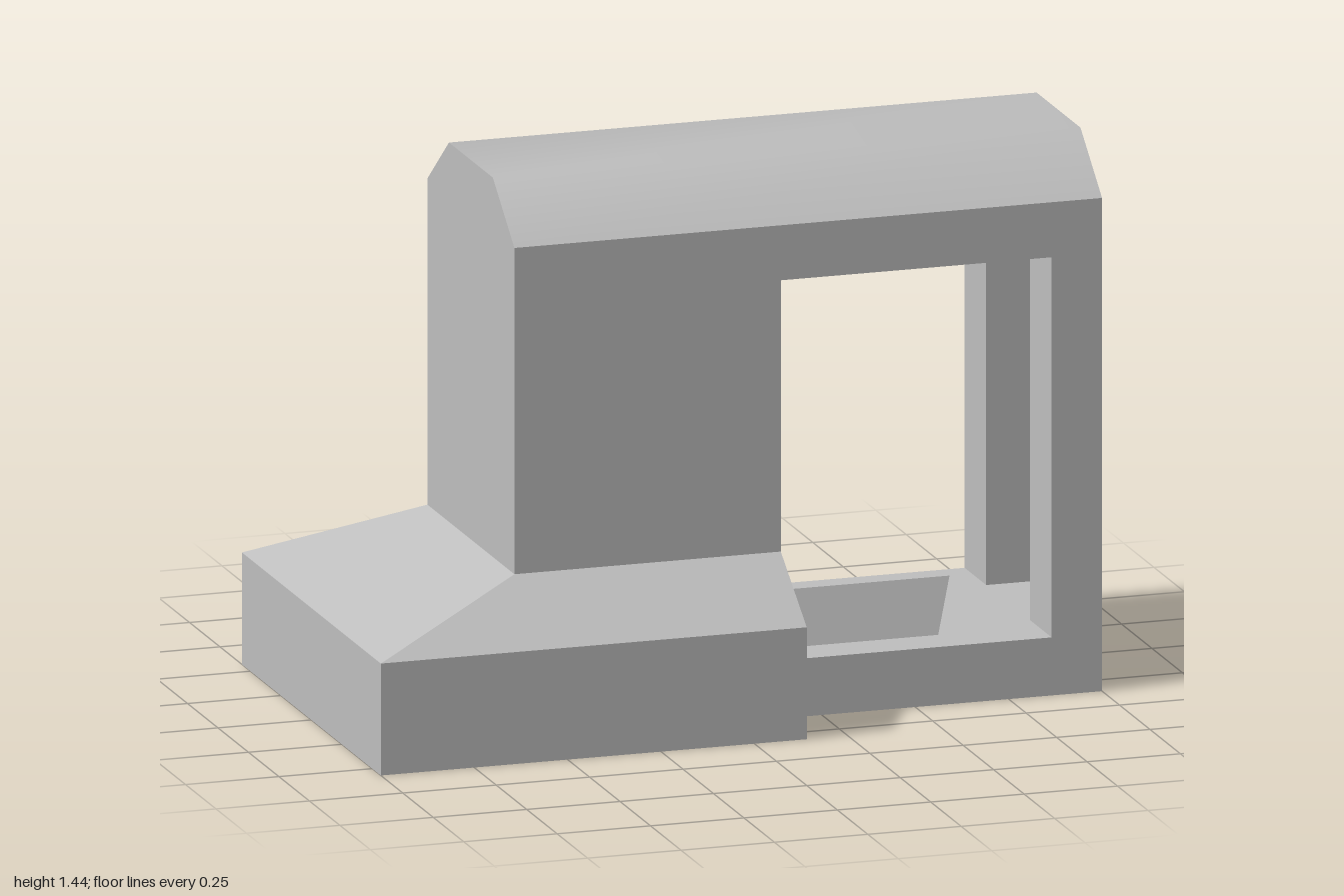
import * as THREE from 'three';
import { toCreasedNormals } from 'three/addons/utils/BufferGeometryUtils.js';

const HALF = 0.357, FLOOR = 0.153, LINTEL = 1.155, EAVES = 1.3, TOP = 1.44;
const WALL_L = -0.573, WALL_R = 0.14, POST = 0.865;

// Stacked rectangles [y, x0, x1, halfDepth] joined by flat sides and capped at both ends
function loftRects(levels) {
  const rings = levels.map(([y, x0, x1, d]) => [[x0, y, d], [x1, y, d], [x1, y, -d], [x0, y, -d]]);
  const pos = [];
  const quad = (a, b, c, d) => pos.push(...a, ...b, ...c, ...a, ...c, ...d);
  for (let i = 0; i + 1 < rings.length; i++) {
    const lo = rings[i], hi = rings[i + 1];
    for (let k = 0; k < 4; k++) quad(lo[k], lo[(k + 1) % 4], hi[(k + 1) % 4], hi[k]);
  }
  const first = rings[0], last = rings[rings.length - 1];
  quad(first[3], first[2], first[1], first[0]);
  quad(last[0], last[1], last[2], last[3]);
  const geo = new THREE.BufferGeometry();
  geo.setAttribute('position', new THREE.Float32BufferAttribute(pos, 3));
  geo.computeVertexNormals();
  return geo;
}

// Outline in the z-y plane, extruded along x
function extrudeX(points, x0, x1) {
  const shape = new THREE.Shape(points.map(([z, y]) => new THREE.Vector2(z, y)));
  const geo = new THREE.ExtrudeGeometry(shape, { depth: x1 - x0, bevelEnabled: false });
  geo.rotateY(Math.PI / 2);
  geo.translate(x0, 0, 0);
  return geo;
}

export function createModel() {
  const group = new THREE.Group();
  const grey = new THREE.MeshStandardMaterial({ color: 0xbfbfbf });
  grey.name = 'plainGrey';
  const add = (name, geo) => {
    const mesh = new THREE.Mesh(geo, grey);
    mesh.name = name;
    group.add(mesh);
  };

  // Wide plinth with sloping shoulders, cut square at the porch end
  add('plinth', loftRects([
    [0, -1, WALL_R, 0.57],
    [0.295, -1, WALL_R, 0.57],
    [0.44, WALL_L, WALL_R, HALF],
  ]));

  // Solid tower
  add('tower', loftRects([[0.44, WALL_L, WALL_R, HALF], [EAVES, WALL_L, WALL_R, HALF]]));

  // Porch floor with a tapered basin sunk into it
  add('basinFloor', loftRects([
    [0, WALL_R, 1, HALF],
    [FLOOR, WALL_R, 1, HALF],
    [FLOOR, 0.2, 0.805, 0.297],
    [0.012, 0.245, 0.76, 0.252],
  ]));

  // End wall: two posts and a lintel around a tall opening
  add('endFrame', extrudeX([
    [-HALF, FLOOR], [-0.18, FLOOR], [-0.18, LINTEL], [0.18, LINTEL],
    [0.18, FLOOR], [HALF, FLOOR], [HALF, EAVES], [-HALF, EAVES],
  ], POST, 1));

  // Ceiling slab over the porch
  add('porchCeiling', loftRects([[LINTEL, WALL_R, POST, HALF], [EAVES, WALL_R, POST, HALF]]));

  // Three-sided roof, softly shaded across its ridges
  add('roof', toCreasedNormals(extrudeX([
    [-HALF, EAVES], [HALF, EAVES], [0.18, TOP], [-0.18, TOP],
  ], WALL_L, 1), THREE.MathUtils.degToRad(45)));

  return group;
}
